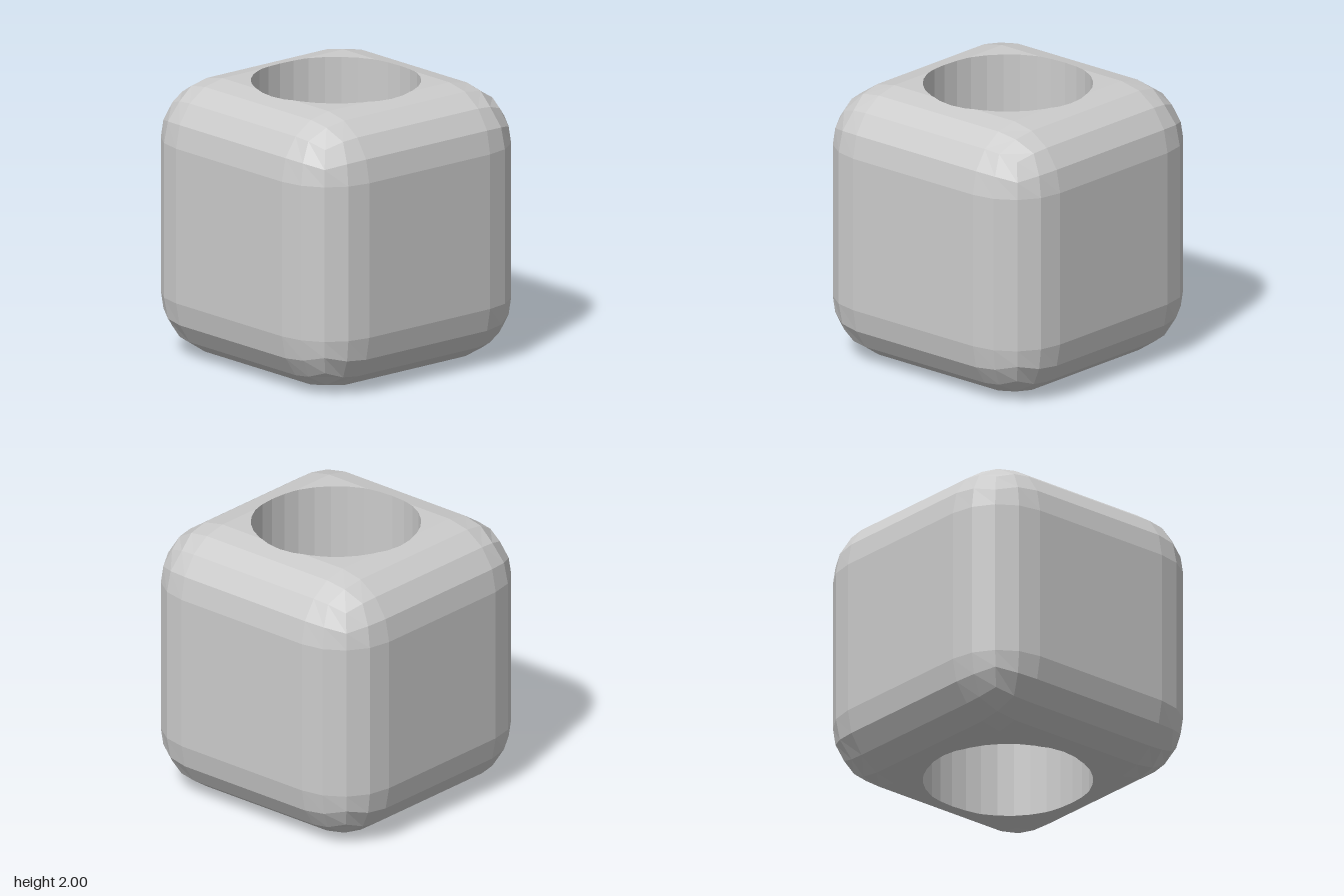
import * as THREE from 'three';
import { mergeGeometries } from 'three/addons/utils/BufferGeometryUtils.js';

const R = 0.435;               // edge rounding radius
const H = 1 - R;               // half width of the flat faces
const HOLE = 0.6;              // bore radius
const STEP = Math.PI / 8;      // two bevel steps per face, each side
const OUTER = H + R * Math.sin(STEP);
const SLOPE = Math.tan(STEP / 2);

// Height of the cap: flat in the middle, sloping in the first bevel strip
const capY = (x, z) => 1 - SLOPE * Math.max(0, Math.max(Math.abs(x), Math.abs(z)) - H);

function fromTriangles(points) {
  const g = new THREE.BufferGeometry().setFromPoints(points);
  g.computeVertexNormals();
  return g;
}

// One rounded face looking up +y; a pierced face leaves its middle open
function facePatch(pierced) {
  const angles = [-2, -1, 0, 0, 1, 2].map((k) => k * STEP);
  const at = (i, j) => new THREE.Vector3(Math.tan(angles[i]), 1, Math.tan(angles[j]))
    .normalize().multiplyScalar(R)
    .add(new THREE.Vector3(i < 3 ? -H : H, H, j < 3 ? -H : H));
  const inner = (k) => k >= 1 && k <= 3;
  const tris = [];
  for (let i = 0; i < 5; i++) {
    for (let j = 0; j < 5; j++) {
      if (pierced && inner(i) && inner(j) && (i === 2 || j === 2)) continue;
      const a = at(i, j), b = at(i, j + 1), c = at(i + 1, j + 1), d = at(i + 1, j);
      tris.push(a, b, c, a, c, d);
    }
  }
  return fromTriangles(tris);
}

// Rim of the bore, with extra points where it crosses the bevel lines
function rimPoints() {
  const reach = (p) => Math.max(Math.abs(p.x), Math.abs(p.y)) - H;
  const on = (i) => {
    const a = (i / 32) * Math.PI * 2;
    return new THREE.Vector2(HOLE * Math.cos(a), HOLE * Math.sin(a));
  };
  const rim = [];
  for (let i = 0; i < 32; i++) {
    const p = on(i), q = on(i + 1), rp = reach(p), rq = reach(q);
    rim.push(p);
    if (rp * rq < 0) rim.push(p.clone().lerp(q, rp / (rp - rq)));
  }
  return rim;
}

// Flat outline in x,z raised onto the cap
function capPiece(outline) {
  const shape = new THREE.Shape(outline.map((p) => new THREE.Vector2(p.x, -p.y)));
  const g = new THREE.ShapeGeometry(shape).rotateX(-Math.PI / 2).toNonIndexed();
  g.deleteAttribute('uv');
  const pos = g.attributes.position;
  for (let i = 0; i < pos.count; i++) pos.setY(i, capY(pos.getX(i), pos.getZ(i)));
  g.computeVertexNormals();
  return g;
}

// Top cap around the bore: a bevel strip and a flat corner, four times
function piercedCap(rim) {
  const e = 1e-6, v = (x, y) => new THREE.Vector2(x, y);
  const notch = rim.filter((p) => p.y > H - e);
  const arc = rim.filter((p) => p.x > 0 && p.y > 0 && p.x < H + e && p.y < H + e);
  const strip = capPiece([...notch, v(-H, H), v(-H, OUTER), v(H, OUTER), v(H, H)]);
  const corner = capPiece([...arc, v(H, H)]);
  const parts = [facePatch(true)];
  for (let k = 0; k < 4; k++) {
    for (const g of [strip, corner]) parts.push(g.clone().rotateY((k * Math.PI) / 2));
  }
  return mergeGeometries(parts);
}

// Inward-facing wall of the bore
function boreWall(rim) {
  const tris = [];
  rim.forEach((p, i) => {
    const q = rim[(i + 1) % rim.length];
    const yp = capY(p.x, p.y), yq = capY(q.x, q.y);
    const a = new THREE.Vector3(p.x, yp, p.y), b = new THREE.Vector3(p.x, -yp, p.y);
    const c = new THREE.Vector3(q.x, -yq, q.y), d = new THREE.Vector3(q.x, yq, q.y);
    tris.push(a, b, c, a, c, d);
  });
  return fromTriangles(tris);
}

export function createModel() {
  const group = new THREE.Group();
  group.name = 'roundedCubeBead';
  const material = new THREE.MeshStandardMaterial({ color: 0xcccccc, flatShading: true });
  const rim = rimPoints();

  // Four plain sides, then the pierced top and bottom
  const cap = piercedCap(rim);
  const side = facePatch(false).rotateX(Math.PI / 2);
  const shell = [cap, cap.clone().rotateX(Math.PI)];
  for (let k = 0; k < 4; k++) shell.push(side.clone().rotateY((k * Math.PI) / 2));

  const add = (name, geometry) => {
    const mesh = new THREE.Mesh(geometry, material);
    mesh.name = name;
    mesh.position.y = 1;
    group.add(mesh);
  };
  add('roundedBody', mergeGeometries(shell));
  add('boreWall', boreWall(rim));
  return group;
}
